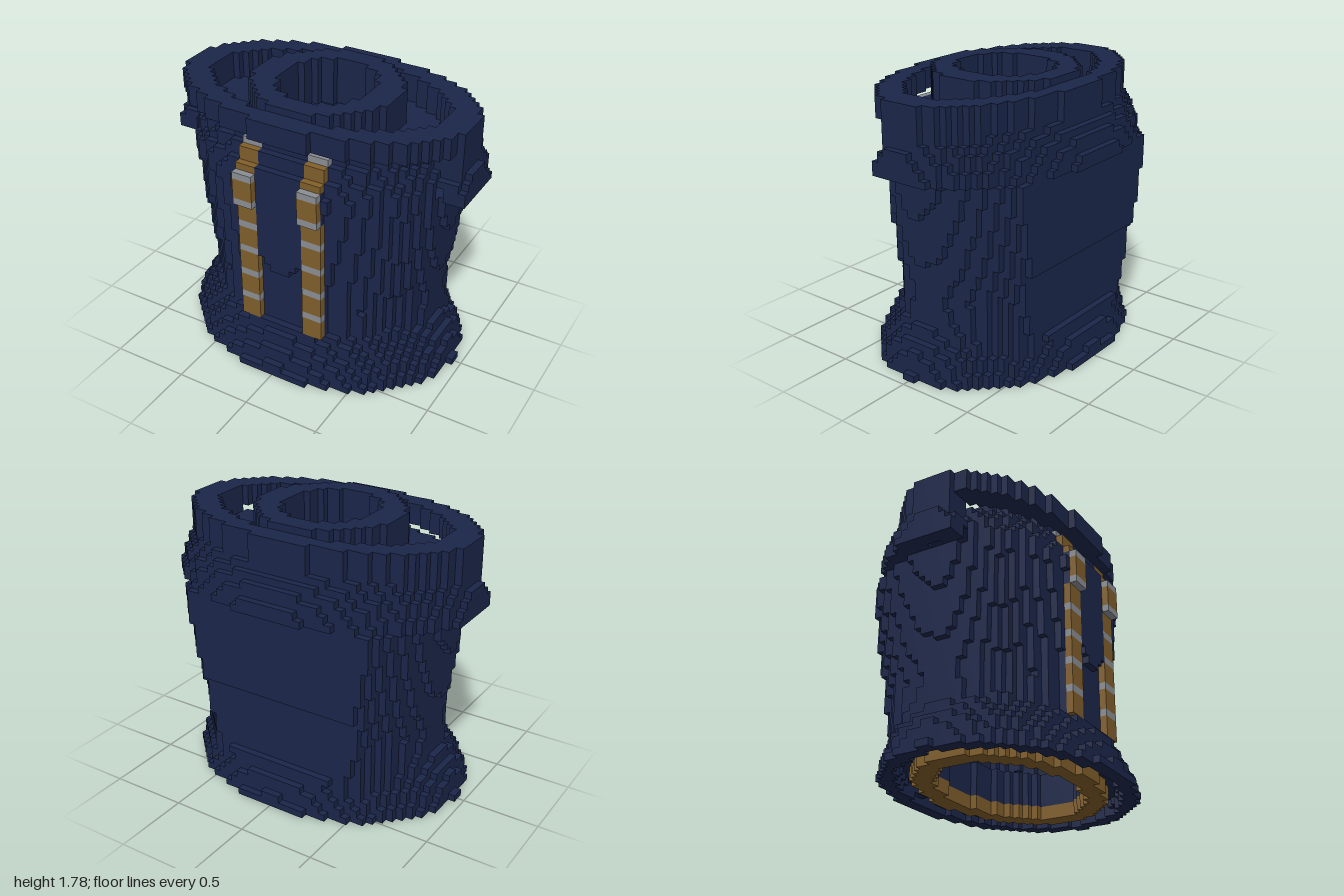
import * as THREE from 'three';

// Cube grid: 45 wide, 40 high, 32 deep
const NX = 45, NY = 40, NZ = 32, U = 2 / 45;

// Body profile: [layer, front half width, front depth, back half width, back depth, back bulge]
const PROFILE = [
  [0, 0.935, 0.711, 0.935, 0.711, 0],
  [1, 0.922, 0.692, 0.922, 0.692, 0],
  [3, 0.893, 0.65, 0.893, 0.65, 0.01],
  [4, 0.862, 0.627, 0.862, 0.627, 0.03],
  [6, 0.81, 0.583, 0.81, 0.583, 0.1],
  [7, 0.787, 0.552, 0.787, 0.565, 0.18],
  [11, 0.764, 0.548, 0.764, 0.58, 0.2],
  [15, 0.793, 0.553, 0.793, 0.595, 0.22],
  [16, 0.802, 0.557, 0.802, 0.605, 0.22],
  [23, 0.846, 0.58, 0.846, 0.615, 0.26],
  [28, 0.87, 0.595, 0.87, 0.63, 0.28],
  [29, 0.872, 0.596, 1.02, 0.711, 0],
  [30, 0.87, 0.594, 1.015, 0.7, 0],
  [31, 0.865, 0.575, 1.0, 0.682, 0],
  [32, 0.85, 0.535, 0.985, 0.66, 0],
  [33, 0.83, 0.525, 0.968, 0.63, 0],
  [34, 0.81, 0.48, 0.956, 0.598, 0],
];

// Profile blended for every body layer
const LAYERS = Array.from({ length: 35 }, (_, j) => {
  const n = PROFILE.findIndex((row) => row[0] >= j);
  const hi = PROFILE[n], lo = PROFILE[Math.max(n - 1, 0)];
  const t = hi === lo ? 0 : (j - lo[0]) / (hi[0] - lo[0]);
  return lo.map((v, c) => v + (hi[c] - v) * t);
});

const ellipse = (x, z, a, b) => (x / a) ** 2 + (z / b) ** 2 <= 1;

// Filled outline of one layer, shrunk by t: round front, flat-cut back
function outline(x, j, z, t) {
  const [, fa, fd, ba, bd, bb] = LAYERS[j];
  const split = j >= 32 ? 0.13 : j >= 29 ? 0.18 : 0;
  return z > split
    ? ellipse(x, z, fa - t, fd - t)
    : z >= -(bd - t) && ellipse(x, z, ba - t, bd + bb - t);
}

// Hollow body with a skirt lip, thick inner hem and shoulder floor
function inBody(x, j, z) {
  if (j > 34 || !outline(x, j, z, 0)) return false;
  if (j < 2) return !outline(x, j, z, 0.09);
  if (j < 7) return !ellipse(x, z, 0.615, 0.39);
  if (j >= 33) return !ellipse(x, z, 0.3, 0.315);
  return !outline(x, j, z, 0.13);
}

// Raised collar, open underneath at the front
function inCollar(x, j, z) {
  if (j < 35 || j > 38 || (j === 35 && z > 0.13)) return false;
  return ellipse(x, z, 0.956, 0.57) && !ellipse(x, z, 0.79, 0.45);
}

const inNeck = (x, j, z) =>
  j >= 33 && ellipse(x, z, 0.467, 0.444) && !ellipse(x, z, 0.3, 0.315);

const inHem = (x, j, z) =>
  j < 2 && ellipse(x, z, 0.735, 0.515) && !ellipse(x, z, 0.615, 0.39);

// Front straps follow the chest, one cube proud of it
function inStrap(x, j, z) {
  const ax = Math.abs(x);
  if (j < 7 || j > 34 || ax < 0.156 || ax > 0.289) return false;
  const front = j < 26 ? 0.578 : j < 31 ? 0.622 : j < 32 ? 0.578 : j < 34 ? 0.533 : 0.489;
  return z < front && z > front - U;
}
const isBand = (j) => (j - 10) % 4 === 0;

// Builds the exposed faces of all cubes selected by a test
function cubes(test) {
  const grid = new Uint8Array((NX + 2) * (NY + 2) * (NZ + 2));
  const id = (i, j, k) => ((i + 1) * (NY + 2) + j + 1) * (NZ + 2) + k + 1;
  for (let i = 0; i < NX; i++)
    for (let j = 0; j < NY; j++)
      for (let k = 0; k < NZ; k++)
        grid[id(i, j, k)] = test((i - 22) * U, j, (k - 15.5) * U) ? 1 : 0;

  const pos = [], nor = [], idx = [];
  for (let i = 0; i < NX; i++)
    for (let j = 0; j < NY; j++)
      for (let k = 0; k < NZ; k++) {
        if (!grid[id(i, j, k)]) continue;
        const c = [(i - 22) * U, (j + 0.5) * U, (k - 15.5) * U];
        for (let axis = 0; axis < 3; axis++)
          for (const s of [-1, 1]) {
            const n = [0, 0, 0];
            n[axis] = s;
            if (grid[id(i + n[0], j + n[1], k + n[2])]) continue;
            const u = (axis + 1) % 3, v = (axis + 2) % 3, base = pos.length / 3;
            for (const [du, dv] of [[-1, -1], [1, -1], [1, 1], [-1, 1]]) {
              const p = [...c];
              p[axis] += s * U / 2;
              p[u] += s * du * U / 2;
              p[v] += dv * U / 2;
              pos.push(...p);
              nor.push(...n);
            }
            idx.push(base, base + 1, base + 2, base, base + 2, base + 3);
          }
      }
  const geo = new THREE.BufferGeometry();
  geo.setAttribute('position', new THREE.Float32BufferAttribute(pos, 3));
  geo.setAttribute('normal', new THREE.Float32BufferAttribute(nor, 3));
  geo.setIndex(idx);
  return geo;
}

export function createModel() {
  const material = (name, color) => {
    const m = new THREE.MeshStandardMaterial({ color });
    m.name = name;
    return m;
  };
  const navy = material('navy cloth', 0x1b264a);
  const gold = material('gold trim', 0x815f2b);
  const grey = material('grey metal', 0x8a8e94);

  const group = new THREE.Group();
  group.name = 'torso';
  const add = (name, mat, test) => {
    const mesh = new THREE.Mesh(cubes(test), mat);
    mesh.name = name;
    group.add(mesh);
  };

  // Straps replace the cloth cubes they sink into
  add('body', navy, (x, j, z) => inBody(x, j, z) && !inStrap(x, j, z));
  add('collar', navy, inCollar);
  add('neckRing', navy, (x, j, z) => inNeck(x, j, z) && !inBody(x, j, z));
  add('hemRing', gold, inHem);
  for (const [side, s] of [['left', 1], ['right', -1]]) {
    add(side + 'Strap', gold, (x, j, z) => x * s > 0 && inStrap(x, j, z) && !isBand(j));
    add(side + 'StrapBands', grey, (x, j, z) => x * s > 0 && inStrap(x, j, z) && isBand(j));
  }
  return group;
}
